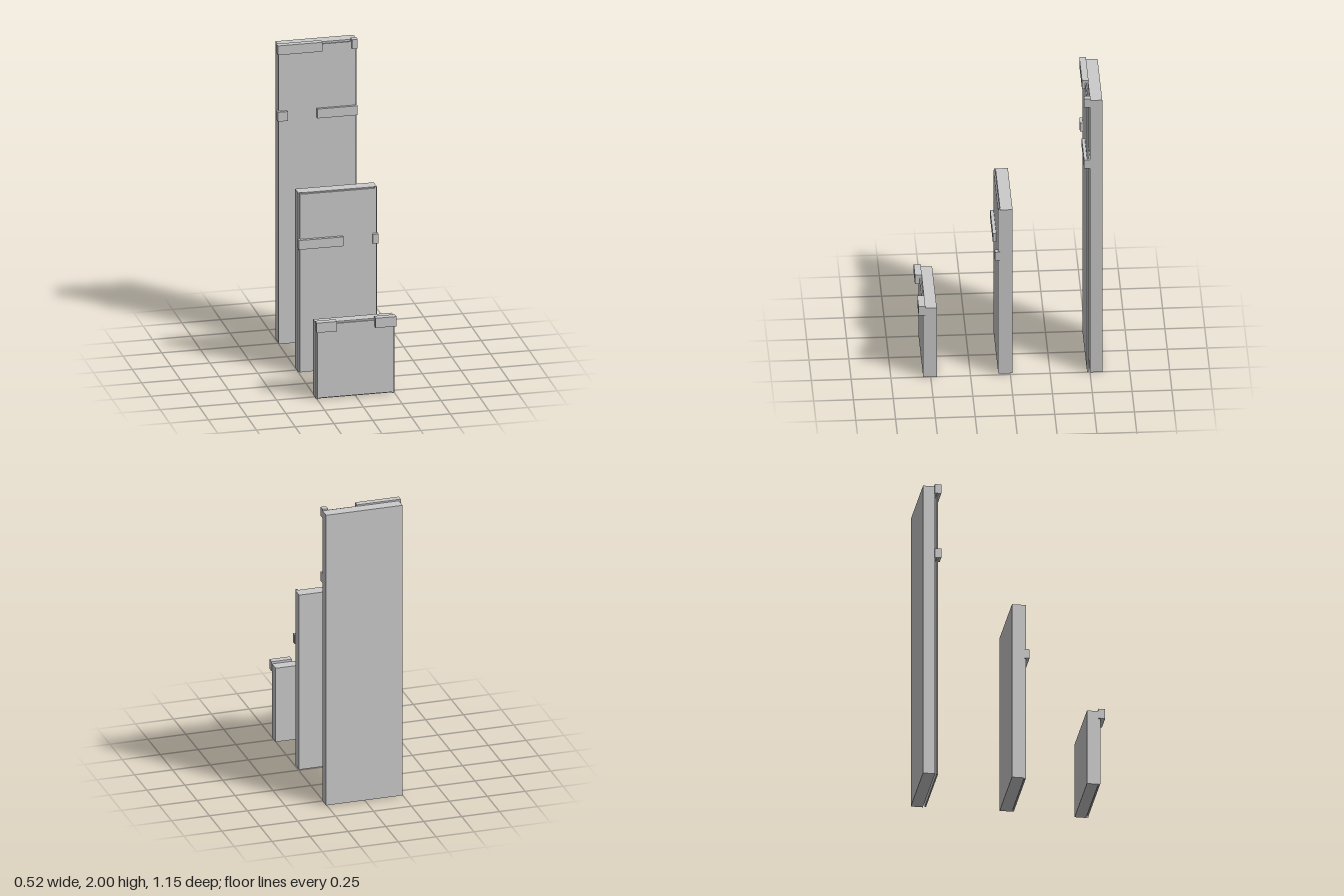
import * as THREE from 'three';

const material = new THREE.MeshStandardMaterial({ color: 0xcccccc, flatShading: true });

// Box given by its extents on each axis
function block(name, [x0, x1], [y0, y1], [z0, z1]) {
  const mesh = new THREE.Mesh(new THREE.BoxGeometry(x1 - x0, y1 - y0, z1 - z0), material);
  mesh.name = name;
  mesh.position.set((x0 + x1) / 2, (y0 + y1) / 2, (z0 + z1) / 2);
  return mesh;
}

// One wall unit: back slab, thin front panel, optional edge posts, and clips
function wallUnit({ name, slab, panel, posts, clipZ, clips }) {
  const unit = new THREE.Group();
  unit.name = name;
  unit.add(block('slab', ...slab), block('frontPanel', ...panel));
  if (posts) {
    for (const x of [-0.242, 0.24]) {
      unit.add(block('edgePost', [x - 0.006, x + 0.006], ...posts));
    }
  }
  for (const [x, y] of clips) unit.add(block('clip', x, y, clipZ));
  return unit;
}

export function createModel() {
  const model = new THREE.Group();
  model.name = 'wallPanels';

  const units = [
    {
      name: 'shortWall',
      slab: [[-0.255, 0.251], [0, 0.505], [0.462, 0.534]],
      panel: [[-0.247, 0.246], [0.008, 0.497], [0.539, 0.548]],
      posts: [[0, 0.505], [0.533, 0.547]],
      clipZ: [0.534, 0.577],
      clips: [
        [[-0.26, -0.128], [0.455, 0.52]],
        [[0.121, 0.255], [0.455, 0.52]],
      ],
    },
    {
      name: 'middleWall',
      slab: [[-0.256, 0.251], [0.01, 1.206], [-0.014, 0.064]],
      panel: [[-0.247, 0.246], [0.012, 1.2], [0.067, 0.076]],
      posts: [[0.008, 1.21], [0.063, 0.075]],
      clipZ: [0.063, 0.097],
      clips: [
        [[-0.26, 0.028], [0.838, 0.9]],
        [[0.219, 0.255], [0.838, 0.9]],
      ],
    },
    {
      name: 'tallWall',
      slab: [[-0.248, 0.256], [0.002, 1.99], [-0.577, -0.501]],
      panel: [[-0.25, 0.245], [0, 1.982], [-0.49, -0.482]],
      clipZ: [-0.504, -0.463],
      clips: [
        [[-0.26, 0.028], [1.938, 2]],
        [[0.219, 0.255], [1.938, 2]],
        [[-0.26, -0.196], [1.494, 1.556]],
        [[-0.005, 0.255], [1.494, 1.556]],
      ],
    },
  ];
  for (const unit of units) model.add(wallUnit(unit));
  return model;
}
